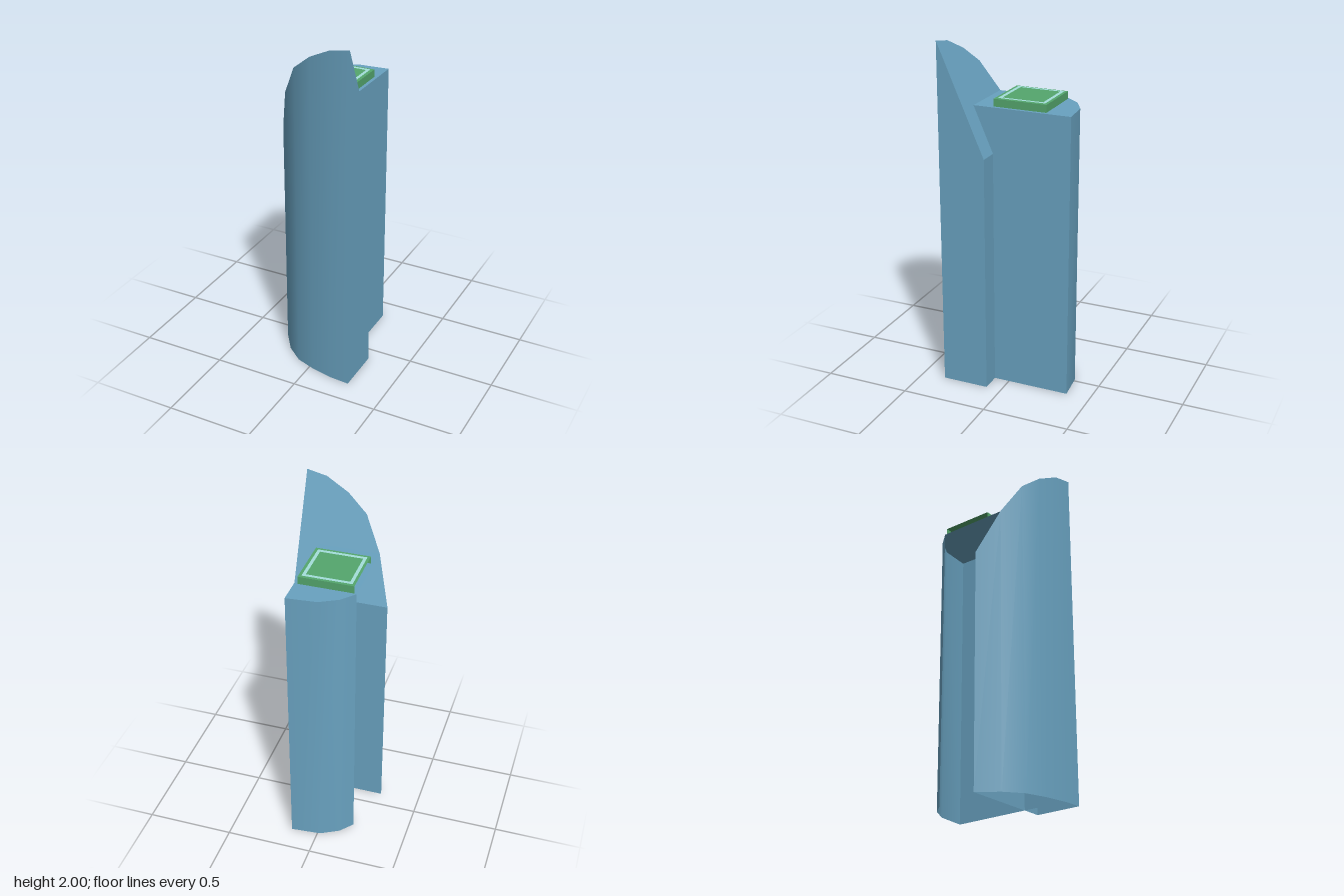
import * as THREE from 'three';

// The shells are open below and on one side, so every face shows from both sides
const flat = (name, color) => {
  const m = new THREE.MeshStandardMaterial({ color, side: THREE.DoubleSide });
  m.name = name;
  return m;
};
const blue = flat('blue glass', 0x69a2c0);
const green = flat('green pad', 0x54a66d);
const pale = flat('pale marking', 0xa4dedb);

function build(positions, index) {
  const g = new THREE.BufferGeometry();
  g.setAttribute('position', new THREE.Float32BufferAttribute(positions, 3));
  g.setIndex(index);
  g.computeVertexNormals();
  return g;
}

// Upright wall along a path of [x, z] points; smooth along its length
function wall(path, bottom, topAt) {
  const pos = [], idx = [];
  path.forEach(([x, z], i) => {
    pos.push(x, bottom, z, x, topAt(z), z);
    if (i) {
      const a = 2 * i - 2;
      idx.push(a, a + 2, a + 3, a, a + 3, a + 1);
    }
  });
  return build(pos, idx);
}

// Convex roof over an outline
function cap(outline, heightAt) {
  const pos = [], idx = [];
  outline.forEach(([x, z], i) => {
    pos.push(x, heightAt(z), z);
    if (i > 1) idx.push(0, i - 1, i);
  });
  return build(pos, idx);
}

export function createModel() {
  const model = new THREE.Group();
  const add = (parent, name, geometry, material) => {
    const m = new THREE.Mesh(geometry, material);
    m.name = name;
    parent.add(m);
  };
  const section = (name) => {
    const g = new THREE.Group();
    g.name = name;
    model.add(g);
    return g;
  };

  // Front tower: curved face with a steep roof falling to the back, open below
  const slope = (z) => 1.38 + (z - 0.09) * (0.62 / 0.27);
  const frontCurve = [[-0.27, 0.09], [-0.188, 0.204], [-0.09, 0.283], [0.025, 0.323], [0.155, 0.351], [0.27, 0.36]];
  const front = section('frontTower');
  add(front, 'frontCurvedFace', wall(frontCurve, 0, slope), blue);
  add(front, 'frontTowerSide', wall([[0.27, 0.36], [0.27, 0.09]], 0, slope), blue);
  add(front, 'frontTowerBack', wall([[0.27, 0.09], [-0.27, 0.09]], 0, slope), blue);
  add(front, 'slopedRoof', cap([...frontCurve, [0.27, 0.09]], slope), blue);

  // Rear tower: flat roof, curved back, open on one side and below
  const roofY = 1.64;
  const roof = () => roofY;
  const backCurve = [[0.155, -0.36], [-0.015, -0.345], [-0.118, -0.29], [-0.183, -0.215]];
  const rear = section('rearTower');
  add(rear, 'rearTowerSide', wall([[0.155, 0.204], [0.155, -0.36]], 0, roof), blue);
  add(rear, 'rearCurvedFace', wall(backCurve, 0, roof), blue);
  add(rear, 'flatRoof', cap([[-0.187, 0.204], [0.155, 0.204], ...backCurve], roof), blue);

  // Landing pad on the flat roof, open on one side
  const padY = 1.683, x0 = -0.17, x1 = 0.136, z0 = -0.213, z1 = 0.093;
  const padTop = () => padY;
  const pad = section('landingPad');
  add(pad, 'padTop', cap([[x0, z1], [x1, z1], [x1, z0], [x0, z0]], padTop), green);
  add(pad, 'padSides', wall([[x1, z1], [x1, z0]], roofY, padTop), green);
  add(pad, 'padBack', wall([[x1, z0], [x0, z0]], roofY, padTop), green);
  add(pad, 'padFront', wall([[x0, z1], [x1, z1]], roofY, padTop), green);

  // Painted square border on the pad
  const square = (a, b, c, d) => [[a, c], [b, c], [b, d], [a, d]].map(([x, y]) => new THREE.Vector2(x, y));
  const border = new THREE.Shape(square(-0.156, 0.119, -0.076, 0.199));
  border.holes.push(new THREE.Path(square(-0.138, 0.101, -0.056, 0.18)));
  const borderGeo = new THREE.ShapeGeometry(border).rotateX(-Math.PI / 2).translate(0, padY + 0.002, 0);
  add(pad, 'padBorder', borderGeo, pale);

  return model;
}
